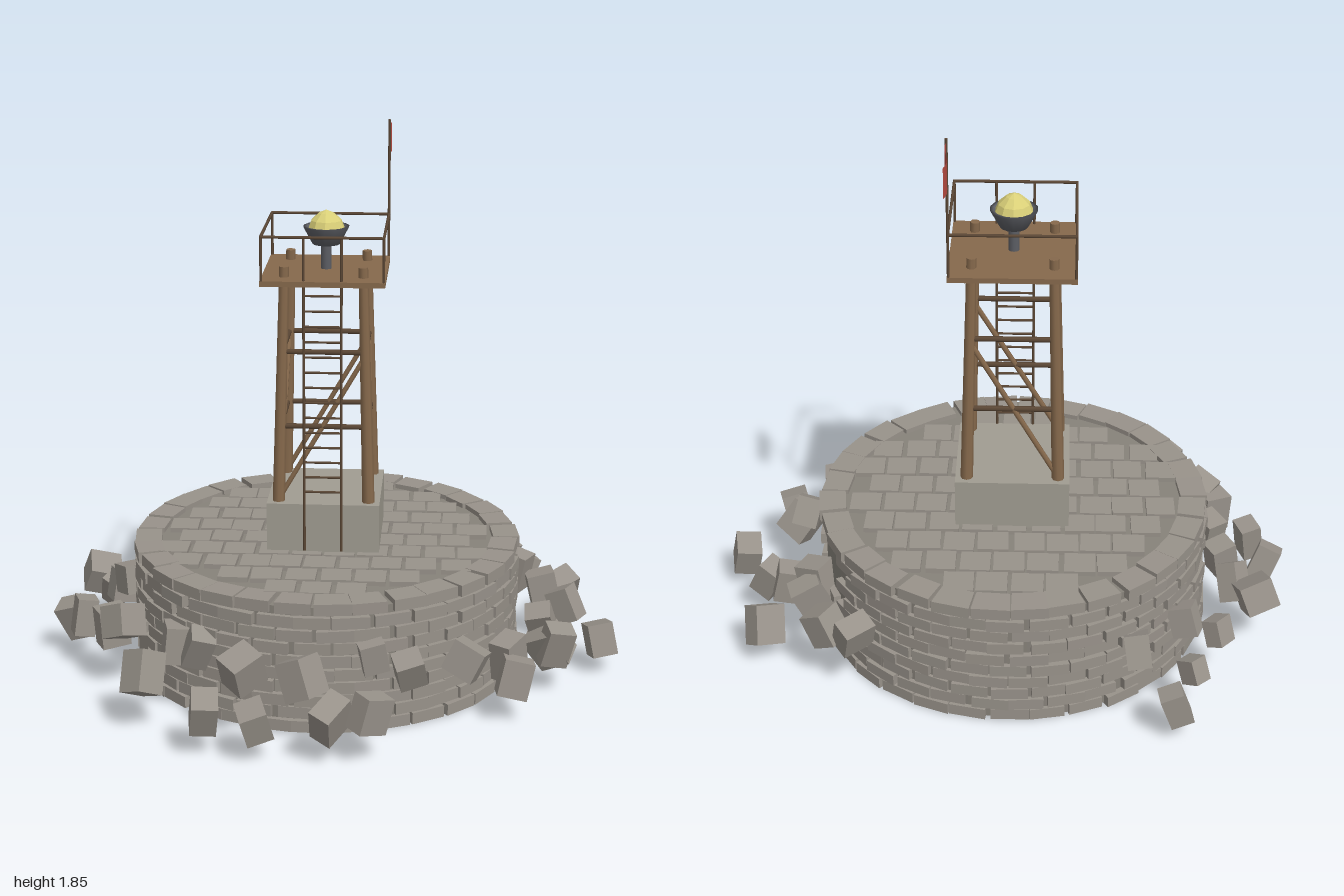
import * as THREE from 'three';
import { mergeGeometries } from 'three/addons/utils/BufferGeometryUtils.js';

const CX = -0.04, CZ = -0.095; // centre of the tower and its base

const mat = (name, color, extra = {}) => {
  const m = new THREE.MeshStandardMaterial({ color, ...extra });
  m.name = name;
  return m;
};

// Small seeded random generator
let seed = 7;
const rnd = () => (seed = (seed * 16807) % 2147483647) / 2147483647;
const jit = (a) => (rnd() - 0.5) * 2 * a;

// Round bar between two points
function bar(a, b, r0, r1 = r0, sides = 6) {
  const p = new THREE.Vector3(...a), q = new THREE.Vector3(...b);
  const d = q.clone().sub(p);
  const g = new THREE.CylinderGeometry(r1, r0, d.length(), sides);
  g.applyQuaternion(new THREE.Quaternion().setFromUnitVectors(new THREE.Vector3(0, 1, 0), d.normalize()));
  const c = p.add(q).multiplyScalar(0.5);
  return g.translate(c.x, c.y, c.z);
}

// Wedge-shaped stone for the round wall, outer face towards +z
function wedge(w, h, d) {
  const g = new THREE.BoxGeometry(w, h, d), p = g.attributes.position;
  for (let i = 0; i < p.count; i++) if (p.getZ(i) < 0) p.setX(i, p.getX(i) * 0.86);
  g.computeVertexNormals();
  return g;
}

export function createModel() {
  seed = 7;
  const root = new THREE.Group();
  root.name = 'beaconTower';
  const stone = mat('stone', 0x98928a);
  const core = mat('mortar', 0x87827a);
  const block = mat('plinthStone', 0xa09c91);
  const wood = mat('wood', 0x86694c);
  const darkWood = mat('darkWood', 0x5c4836);
  const metal = mat('metal', 0x5c5e64);
  const glow = mat('glow', 0xd9cf78, { flatShading: true });
  const red = mat('flagRed', 0xb54a40, { side: THREE.DoubleSide });

  const tower = new THREE.Group();
  tower.name = 'tower';
  tower.position.set(CX, 0, CZ);
  root.add(tower);
  const add = (name, geo, material, parent = tower) => {
    const m = new THREE.Mesh(Array.isArray(geo) ? mergeGeometries(geo) : geo, material);
    m.name = name;
    parent.add(m);
    return m;
  };

  // Solid core of the round base
  add('baseCore', new THREE.CylinderGeometry(0.645, 0.645, 0.425, 64).translate(0, 0.2175, 0), core);

  // Ten courses of wall stones, with a gap on the right side
  const wall = [], courses = 10, count = 32, step = (Math.PI * 2) / count;
  for (let c = 0; c < courses; c++) {
    for (let i = 0; i < count; i++) {
      const a = (i + (c % 2) * 0.5) * step + jit(0.015);
      const gap = c >= 5 && c <= 8 && a > 1.6 && a < 2.15;
      if (gap) continue;
      const g = wedge(0.121 + jit(0.006), 0.039, 0.09);
      g.rotateZ(jit(0.02)).rotateY(jit(0.03));
      g.translate(0, 0.0225 + c * 0.045, 0.616 + jit(0.006)).rotateY(a);
      wall.push(g);
    }
  }
  add('wallStones', wall, stone);

  // Paving stones laid in rows inside the rim
  const paving = [], pitch = 0.113;
  for (let r = -5; r <= 4; r++) {
    const z = (r + 0.5) * pitch, shift = (r & 1) * 0.055;
    for (let i = -6; i <= 6; i++) {
      const x = i * 0.112 + shift + jit(0.006);
      if (Math.hypot(Math.abs(x) + 0.04, Math.abs(z) + 0.04) > 0.6) continue;
      if (r === 3 && Math.abs(x) > 0.34) continue;
      const g = new THREE.BoxGeometry(0.1 + jit(0.005), 0.04, 0.1 + jit(0.004));
      paving.push(g.rotateY(jit(0.03)).translate(x, 0.427 + jit(0.002), z));
    }
  }
  add('pavingStones', paving, stone);

  // Loose rubble around the base: x, z; stones further out sit lower
  const spots = [
    -0.58, -0.81, -0.64, -0.69, -0.73, -0.51, -0.62, -0.475, -0.46, -0.65, -0.87, -0.3, -0.8, -0.21,
    -0.76, -0.12, -0.92, -0.03, -0.87, 0.06, -0.72, -0.04, -0.75, 0.2, -0.7, 0.26, -0.59, 0.55,
    -0.37, 0.74, -0.26, 0.62, -0.21, 0.76, -0.07, 0.61, 0.03, 0.77, 0.155, 0.755, 0.27, 0.58,
    0.45, 0.47, 0.59, 0.32, 0.61, 0.42, 0.75, 0.2, 0.7, 0.11, 0.91, 0, 0.47, -0.6, 0.57, -0.545,
    0.79, -0.43, 0.64, -0.385, 0.72, -0.27, 0.8, -0.2, 0.62, -0.32, 0.73, 0.16,
    -0.5, 0.4, 0.15, 0.54, -0.42, 0.46,
  ];
  const rubble = [];
  for (let i = 0; i < spots.length; i += 2) {
    const [x, z] = [spots[i], spots[i + 1]];
    const d = Math.hypot(x - CX, z - CZ);
    const y = 0.26 - (d - 0.66) * 0.5 + jit(0.035);
    const small = x < -0.6 && z < -0.4 ? 0.75 : 1;
    const g = new THREE.BoxGeometry(0.095 + jit(0.02), 0.12 + jit(0.02), 0.095 + jit(0.025));
    g.scale(small, small, small).rotateX(jit(0.5)).rotateZ(jit(0.5)).rotateY(rnd() * 6);
    rubble.push(g.translate(x, Math.max(y, 0.11), z));
  }
  add('rubble', rubble, stone, root);

  // Plinth
  add('plinth', new THREE.BoxGeometry(0.38, 0.175, 0.38).translate(0, 0.5275, 0), block);

  // Legs lean inwards and poke through the deck
  const half = (y) => 0.152 - ((y - 0.6) / 0.82) * 0.022;
  const corners = [[-1, 1], [1, 1], [1, -1], [-1, -1]];
  const at = ([sx, sz], y) => [sx * half(y), y, sz * half(y)];
  add('legs', corners.map((c) => bar(at(c, 0.6), at(c, 1.42), 0.021, 0.016, 8)), wood);

  // Cross beams on all sides at two heights
  const beams = [];
  for (const y of [0.877, 1.133])
    corners.forEach((c, i) => beams.push(bar(at(c, y), at(corners[(i + 1) % 4], y), 0.009)));
  add('crossBeams', beams, darkWood);

  // One diagonal brace per side
  const braces = [];
  for (const s of [-1, 1]) {
    braces.push(bar(at([-1, s], 0.62), at([1, s], 1.12), 0.009));
    braces.push(bar(at([s, 1], 0.62), at([s, -1], 1.12), 0.009));
  }
  add('diagonalBraces', braces, wood);

  // Deck
  add('deck', new THREE.BoxGeometry(0.41, 0.018, 0.41).translate(0, 1.377, 0), wood);

  // Railing
  const rail = [], e = 0.2;
  corners.forEach(([x, z], i) => {
    const [nx, nz] = corners[(i + 1) % 4];
    rail.push(bar([x * e, 1.38, z * e], [x * e, 1.535, z * e], 0.005));
    rail.push(bar([x * e, 1.532, z * e], [nx * e, 1.532, nz * e], 0.005));
  });
  add('railing', rail, darkWood);

  // Ladder up the front
  const ladder = [], lz = 0.19;
  for (const x of [-0.062, 0.062]) ladder.push(bar([x, 0.45, lz], [x, 1.53, lz], 0.005));
  for (let y = 0.66; y < 1.36; y += 0.052) ladder.push(bar([-0.062, y, lz], [0.062, y, lz], 0.004));
  add('ladder', ladder, darkWood);

  // Beacon: stand, bowl and faceted glowing dome
  add('beaconStand', new THREE.CylinderGeometry(0.018, 0.018, 0.1, 10).translate(0, 1.43, 0), metal);
  const bowl = [[0, 1.47], [0.046, 1.47], [0.078, 1.53], [0.066, 1.53], [0.05, 1.505], [0, 1.505]];
  add('beaconBowl', new THREE.LatheGeometry(bowl.map((p) => new THREE.Vector2(...p)), 14), metal);
  const dome = [[0.064, 1.52], [0.052, 1.55], [0.026, 1.574], [0, 1.585]];
  add('beaconGlow', new THREE.LatheGeometry(dome.map((p) => new THREE.Vector2(...p)), 10), glow);

  // Flag pole and waving flag at the back left corner
  add('flagPole', bar([e, 1.38, -e], [e, 1.855, -e], 0.005), darkWood);
  const flag = new THREE.PlaneGeometry(0.145, 0.1, 10, 2).rotateY(Math.PI / 2);
  const p = flag.attributes.position;
  for (let i = 0; i < p.count; i++) {
    const t = 0.5 - p.getZ(i) / 0.145; // 0 at the pole, 1 at the free end
    p.setX(i, 0.011 * t * Math.sin(t * 6.5));
    p.setY(i, p.getY(i) - 0.016 * t * t + 0.005 * Math.sin(t * 5));
  }
  flag.computeVertexNormals();
  add('flag', flag.translate(e, 1.793, -e - 0.0725), red);

  return root;
}
